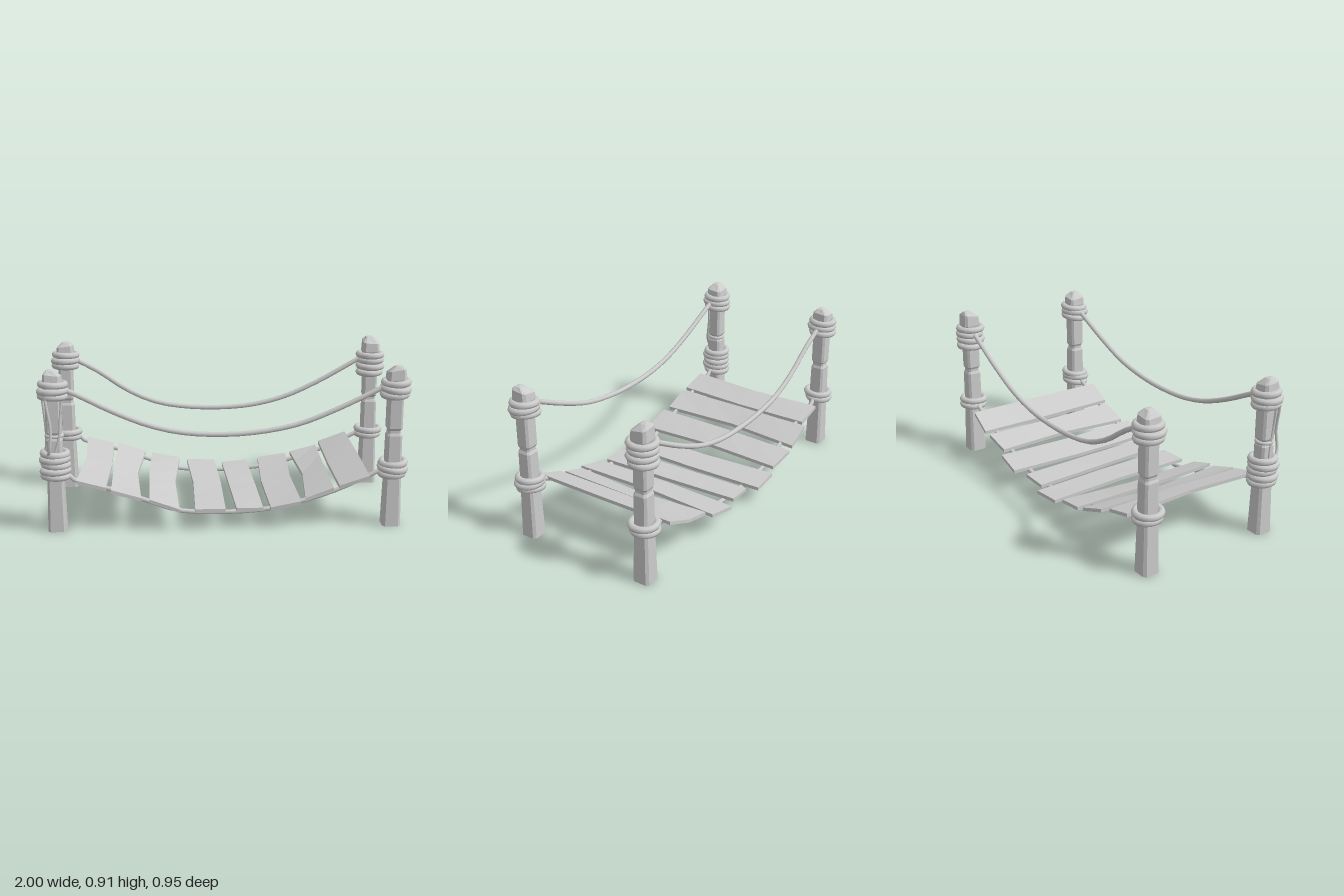
import * as THREE from 'three';

const wood = new THREE.MeshStandardMaterial({ color: 0xcccccc, flatShading: true });
const rope = new THREE.MeshStandardMaterial({ color: 0xcccccc });

const V = (x, y, z) => new THREE.Vector3(x, y, z);

function add(parent, name, geometry, material) {
  const mesh = new THREE.Mesh(geometry, material);
  mesh.name = name;
  parent.add(mesh);
  return mesh;
}

// Tapered square post with chamfered corners, a carved notch and a lopsided peak
function postGeometry(height, peakX, peakZ) {
  const profile = [
    [0, 0], [0.05, 0], [0.043, 0.3], [0.041, 0.51], [0.034, 0.525], [0.034, 0.54],
    [0.041, 0.553], [0.041, 0.77], [0.05, 0.82], [0.046, height - 0.03], [0.02, height - 0.004], [0, height],
  ].map(([r, y]) => new THREE.Vector2(r, y));
  const geo = new THREE.LatheGeometry(profile, 8, Math.PI / 8);
  const p = geo.attributes.position;
  const square = (v, r) => Math.sign(v) * r * (Math.abs(v) > 0.6 * r ? 1 : 0.72);
  for (let i = 0; i < p.count; i++) {
    const r = profile[i % profile.length].x;
    let x = square(p.getX(i), r), z = square(p.getZ(i), r), y = p.getY(i);
    if (y > height - 0.01) { x += peakX; z += peakZ; }
    else if (y > 0.83) y += (x * peakX + z * peakZ) * 12;
    p.setXYZ(i, x, y, z);
  }
  return geo;
}

// Stack of slightly tilted rope rings
function addCoil(parent, name, heights, tilt) {
  const coil = new THREE.Group();
  coil.name = name;
  heights.forEach((y, i) => {
    const ring = add(coil, 'ropeRing', new THREE.TorusGeometry(0.063 + 0.004 * (i % 2), 0.019, 8, 24), rope);
    ring.rotation.set(Math.PI / 2 + tilt * (1 - 0.25 * i), tilt * (i % 2 ? -0.5 : 0.5), 0);
    ring.position.set(0.002 * (i % 3 - 1), y, 0.003 * (i % 2 ? 1 : -1));
  });
  parent.add(coil);
}

function addRope(parent, name, points, radius, segments) {
  const curve = new THREE.CatmullRomCurve3(points.map(q => V(...q)));
  return add(parent, name, new THREE.TubeGeometry(curve, segments, radius, 8), rope);
}

// Warped plank: left and right edge x at back, middle and front; heights of both edges; end z
function plankGeometry([left, right, yl, yr, z0, z1, skew, twist]) {
  const geo = new THREE.BoxGeometry(1, 0.02, 1, 1, 1, 4);
  const p = geo.attributes.position;
  const edge = (e, t) => t < 0.5
    ? THREE.MathUtils.lerp(e[0], e[1], t * 2)
    : THREE.MathUtils.lerp(e[1], e[2], t * 2 - 1);
  for (let i = 0; i < p.count; i++) {
    const onRight = p.getX(i) > 0, t = p.getZ(i) + 0.5, side = onRight ? 1 : -1;
    p.setXYZ(i,
      edge(onRight ? right : left, t),
      (onRight ? yr : yl) - 0.01 + p.getY(i) + side * twist * (t - 0.5),
      THREE.MathUtils.lerp(z0, z1, t) + side * skew);
  }
  geo.computeVertexNormals();
  return geo;
}

export function createModel() {
  const model = new THREE.Group();
  model.name = 'ropeBridge';
  const X = 0.911, ZF = 0.383, ZB = -0.373;

  // Posts with their rope wrappings
  const posts = [
    ['frontLeftPost', X, ZF, 0.896, 0.012, 0.01, [0.74, 0.77, 0.802], [0.3, 0.328, 0.355], 0.12],
    ['backLeftPost', X, ZB, 0.906, -0.006, -0.015, [0.69, 0.728, 0.764, 0.797], [0.305, 0.337], 0.03],
    ['frontRightPost', -X, ZF, 0.89, -0.01, 0.008, [0.745, 0.775, 0.81], [0.305, 0.337, 0.37, 0.402, 0.432], -0.08],
    ['backRightPost', -X, ZB, 0.892, 0.008, 0.006, [0.745, 0.778, 0.812], [0.31, 0.34], -0.06],
  ];
  for (const [name, x, z, h, px, pz, upper, lower, tilt] of posts) {
    const g = new THREE.Group();
    g.name = name;
    g.position.set(x, 0, z);
    add(g, 'post', postGeometry(h, px, pz), wood);
    addCoil(g, 'upperCoil', upper, tilt);
    addCoil(g, 'lowerCoil', lower, tilt);
    model.add(g);

    // Loose strands running down one post, tied at the notch
    if (name === 'frontRightPost') {
      addRope(g, 'looseStrand', [[-0.035, 0.76, 0.06], [-0.03, 0.71, 0.066], [-0.012, 0.58, 0.07],
        [-0.02, 0.47, 0.078], [-0.03, 0.435, 0.06]], 0.008, 16);
      addRope(g, 'looseStrand', [[0.05, 0.75, 0.03], [0.038, 0.64, 0.035], [0.03, 0.535, 0.046],
        [0.01, 0.46, 0.05], [0, 0.42, 0.055]], 0.007, 16);
      addRope(g, 'looseStrand', [[-0.055, 0.75, 0.02], [-0.045, 0.64, 0.02], [-0.041, 0.535, 0.01],
        [-0.047, 0.46, 0], [-0.055, 0.42, -0.005]], 0.007, 16);
      const tie = add(g, 'notchTie', new THREE.TorusGeometry(0.042, 0.01, 8, 20), rope);
      tie.rotation.x = Math.PI / 2;
      tie.position.y = 0.532;
    }
  }

  // Sagging handrails
  const frontRail = [[-0.86, 0.785], [-0.78, 0.75], [-0.6, 0.66], [-0.4, 0.58], [-0.22, 0.54], [0, 0.528],
    [0.2, 0.542], [0.4, 0.582], [0.6, 0.66], [0.78, 0.745], [0.86, 0.785]];
  const backRail = [[-0.86, 0.785], [-0.72, 0.71], [-0.55, 0.595], [-0.38, 0.52], [-0.2, 0.488], [0, 0.48],
    [0.2, 0.495], [0.4, 0.545], [0.6, 0.635], [0.78, 0.735], [0.86, 0.78]];
  const floor = [[-0.87, 0.335], [-0.82, 0.285], [-0.6, 0.222], [-0.4, 0.15], [-0.25, 0.1], [0, 0.087],
    [0.22, 0.1], [0.4, 0.138], [0.6, 0.2], [0.8, 0.29], [0.87, 0.325]];
  const place = (pts, z, bow) => pts.map(([x, y]) => [x, y, z + bow * (1 - x * x)]);
  addRope(model, 'frontHandrail', place(frontRail, ZF, 0.015), 0.014, 24);
  addRope(model, 'backHandrail', place(backRail, ZB - 0.007, 0.012), 0.014, 24);

  // Ropes carrying the planks
  addRope(model, 'frontFloorRope', place(floor, ZF, 0.01), 0.013, 24);
  addRope(model, 'backFloorRope', place(floor, ZB - 0.007, 0.012), 0.013, 24);

  // Walkway planks
  const planks = [
    [[-0.8, -0.775, -0.8], [-0.64, -0.63, -0.645], 0.292, 0.25, -0.415, 0.435, 0.002, 0],
    [[-0.61, -0.62, -0.615], [-0.45, -0.485, -0.455], 0.242, 0.187, -0.45, 0.443, -0.004, 0.004],
    [[-0.41, -0.42, -0.41], [-0.24, -0.27, -0.25], 0.178, 0.135, -0.455, 0.455, 0.006, -0.012],
    [[-0.195, -0.165, -0.165], [-0.025, -0.005, 0], 0.122, 0.116, -0.474, 0.435, -0.004, 0.004],
    [[0.02, 0.04, 0.06], [0.17, 0.19, 0.205], 0.118, 0.122, -0.43, 0.43, -0.004, -0.006],
    [[0.245, 0.23, 0.245], [0.415, 0.395, 0.41], 0.126, 0.16, -0.464, 0.445, 0.007, 0.004],
    [[0.44, 0.468, 0.435], [0.6, 0.592, 0.59], 0.172, 0.22, -0.43, 0.418, -0.003, 0.008],
    [[0.62, 0.615, 0.62], [0.78, 0.783, 0.78], 0.236, 0.297, -0.443, 0.43, 0.008, -0.003],
  ];
  const walkway = new THREE.Group();
  walkway.name = 'walkway';
  planks.forEach(data => add(walkway, 'plank', plankGeometry(data), wood));
  model.add(walkway);

  return model;
}
